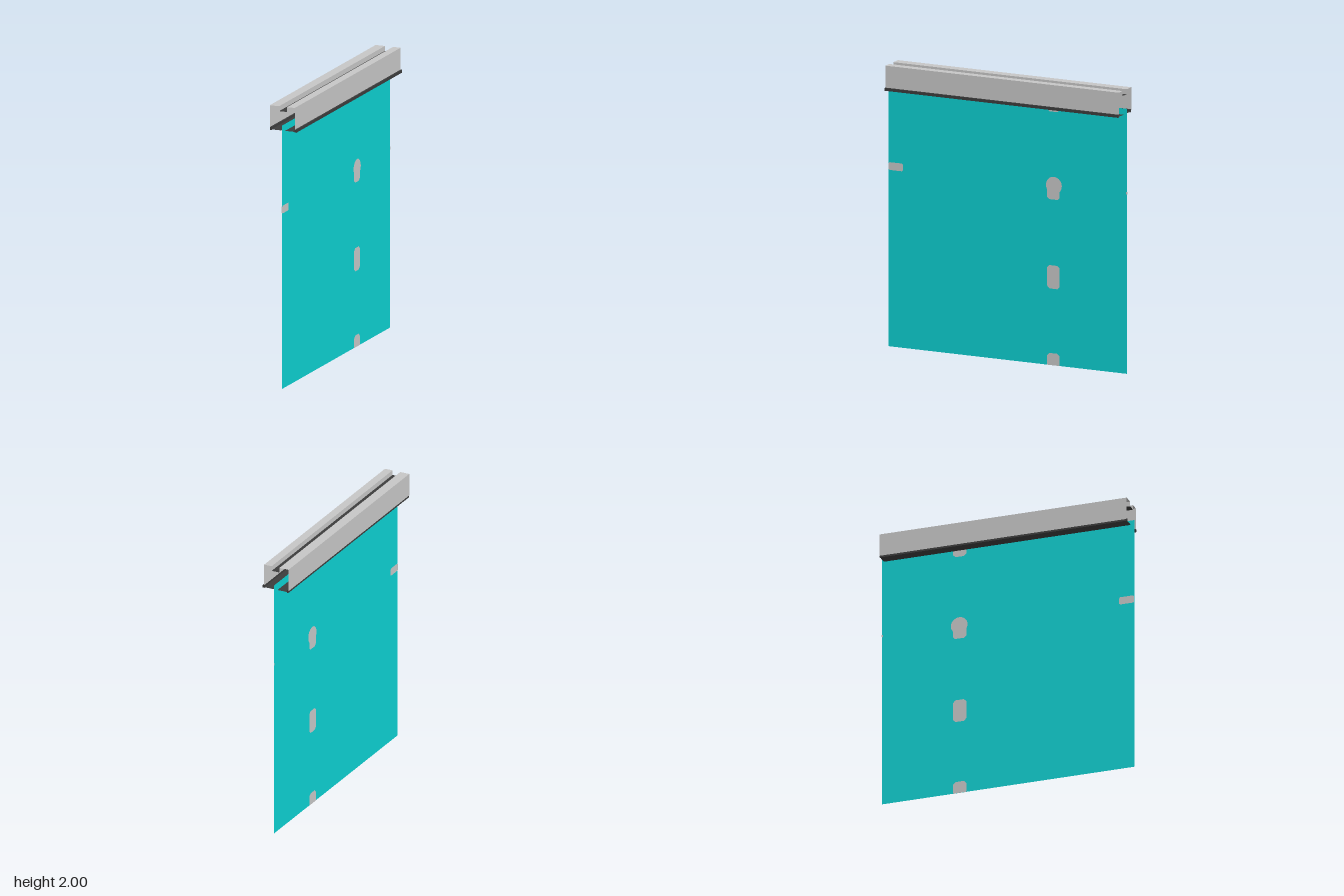
import * as THREE from 'three';

const material = (name, color) => {
  const m = new THREE.MeshStandardMaterial({ color, side: THREE.DoubleSide });
  m.name = name;
  return m;
};

// Sweeps an open [x, y] cross-section along z as separate flat faces
function ribbon(points, length) {
  const pos = [], h = length / 2;
  for (let i = 0; i < points.length - 1; i++) {
    const [ax, ay] = points[i], [bx, by] = points[i + 1];
    pos.push(ax, ay, h, ax, ay, -h, bx, by, -h, ax, ay, h, bx, by, -h, bx, by, h);
  }
  const g = new THREE.BufferGeometry();
  g.setAttribute('position', new THREE.Float32BufferAttribute(pos, 3));
  g.computeVertexNormals();
  return g;
}

// Patch outline with corners cut by c at the bottom and d at the top; u runs towards -z
function patch(u0, u1, v0, v1, c, d) {
  return new THREE.Shape([
    [u0 + c, v0], [u1 - c, v0], [u1, v0 + c], [u1, v1 - d],
    [u1 - d, v1], [u0 + d, v1], [u0, v1 - d], [u0, v0 + c],
  ].map(([u, v]) => new THREE.Vector2(u, v)));
}

export function createModel() {
  const group = new THREE.Group();
  const teal = material('teal sheet', 0x0ccfd0);
  const grey = material('light grey', 0xc6c6c6);
  const dark = material('dark rubber', 0x3c3c3c);
  const add = (name, geometry, mat) => {
    const mesh = new THREE.Mesh(geometry, mat);
    mesh.name = name;
    group.add(mesh);
    return mesh;
  };
  const railLength = 1.8;

  // Hanging sheet
  add('sheet', new THREE.PlaneGeometry(1.84, 1.87).rotateY(Math.PI / 2).translate(0, 0.935, 0), teal);

  // Grey patches on both faces of the sheet
  const keyhole = new THREE.Shape();
  keyhole.moveTo(0.32, 1.17);
  keyhole.lineTo(0.385, 1.17);
  keyhole.lineTo(0.4, 1.185);
  keyhole.absarc(0.355, 1.27, 0.061, -0.75, Math.PI + 0.5, false);
  keyhole.lineTo(0.303, 1.185);
  const patches = [
    patch(0.303, 0.4, 0, 0.085, 0, 0.018),
    patch(0.303, 0.4, 0.54, 0.705, 0.018, 0.018),
    keyhole,
    patch(0.303, 0.4, 1.79, 1.87, 0.018, 0),
    patch(-0.92, -0.81, 1.245, 1.3, 0.008, 0.008),
    patch(0.91, 0.92, 1.265, 1.285, 0.003, 0.003),
  ];
  for (const side of [1, -1]) {
    const geometry = new THREE.ShapeGeometry(patches, 16).rotateY(Math.PI / 2).translate(side * 0.002, 0, 0);
    add('sheetPatches', geometry, grey);
  }

  // Folded rail halves with a recessed slot between them
  add('railLeft', ribbon([[0.088, 1.845], [0.088, 2], [0.03, 2], [0.03, 1.965]], railLength), grey);
  add('railRight', ribbon([[-0.1, 1.838], [-0.1, 2], [-0.03, 2], [-0.03, 1.965]], railLength), grey);
  add('slotFloor', ribbon([[-0.03, 1.965], [0.03, 1.965]], railLength), dark);

  // Edge strips and the lips reaching in towards the sheet
  for (const side of [1, -1]) {
    const strip = new THREE.BoxGeometry(0.012, 0.02, railLength);
    add('edgeStrip', strip.translate(side * 0.0935, 1.835, 0), dark);
    add('lip', ribbon([[side * 0.088, 1.83], [side * 0.015, 1.83]], railLength), dark);
  }
  return group;
}
